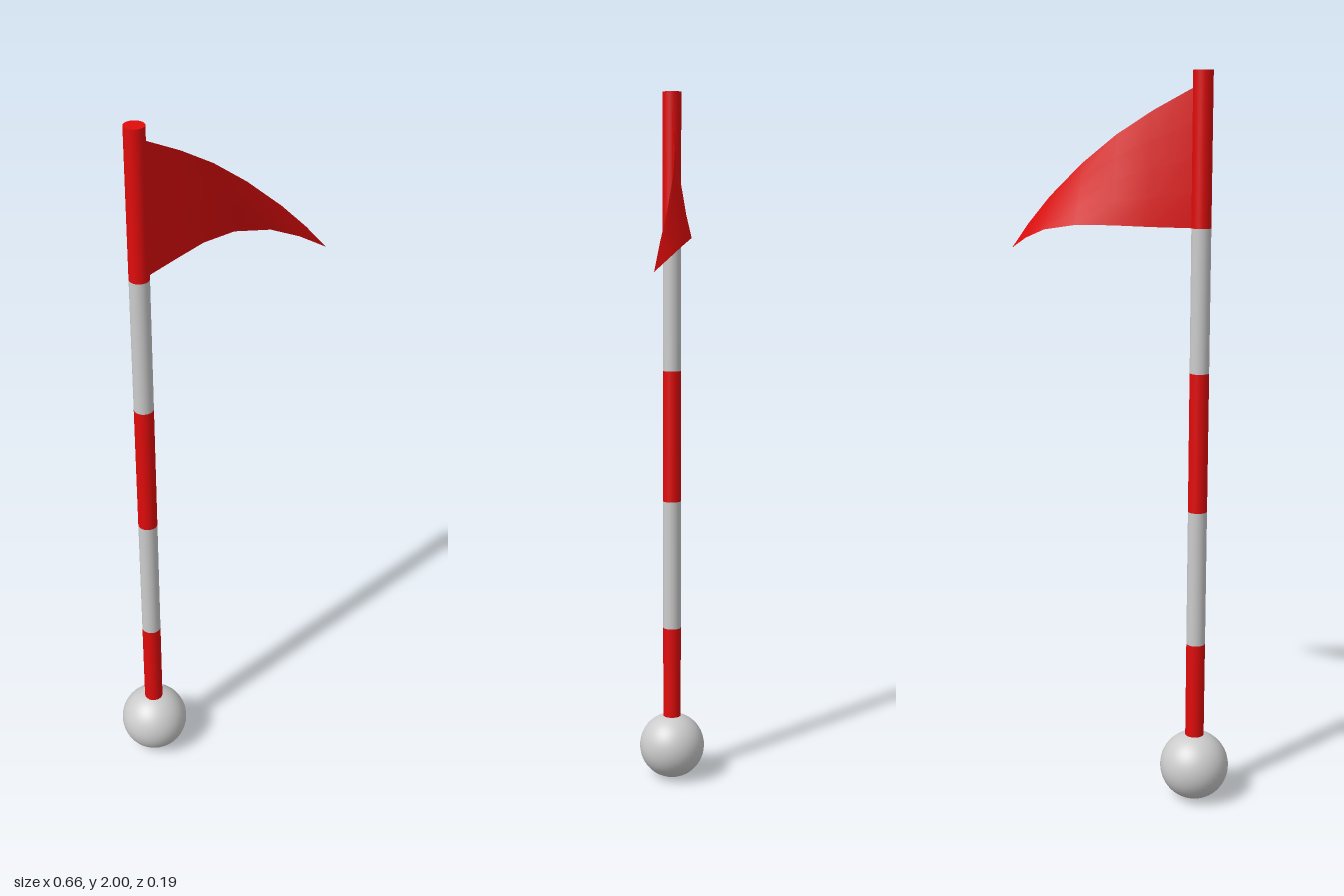
import * as THREE from 'three';

const POLE_X = -0.232;
const grey = new THREE.MeshStandardMaterial({ color: 0xcccccc });
const red = new THREE.MeshStandardMaterial({ color: 0xe00b0b });
const cloth = new THREE.MeshStandardMaterial({ color: 0xe00b0b, side: THREE.DoubleSide });

// Pennant: a sheet lofted between a top and a bottom edge that meet at the tip
function pennantGeometry() {
  // x, top y, top z, bottom y, bottom z
  const stations = [
    [-0.208, 1.957, 0, 1.602, 0],
    [-0.1, 1.9, -0.003, 1.604, -0.025],
    [0, 1.838, -0.005, 1.607, -0.045],
    [0.1, 1.762, 0.001, 1.605, -0.047],
    [0.2, 1.672, 0.018, 1.588, -0.022],
    [0.27, 1.598, 0.036, 1.56, 0.012],
    [0.328, 1.527, 0.051, 1.527, 0.051],
  ];
  const rows = 4;
  const positions = [];
  const indices = [];
  stations.forEach(([x, topY, topZ, lowY, lowZ], i) => {
    for (let j = 0; j <= rows; j++) {
      const t = j / rows;
      positions.push(x, THREE.MathUtils.lerp(lowY, topY, t), THREE.MathUtils.lerp(lowZ, topZ, t));
      if (i === 0 || j === 0) continue;
      const d = i * (rows + 1) + j, c = d - 1, b = d - rows - 1, a = b - 1;
      indices.push(a, c, b);
      if (i < stations.length - 1) indices.push(c, d, b);
    }
  });
  const geometry = new THREE.BufferGeometry();
  geometry.setAttribute('position', new THREE.Float32BufferAttribute(positions, 3));
  geometry.setIndex(indices);
  geometry.computeVertexNormals();
  return geometry;
}

export function createModel() {
  const model = new THREE.Group();
  model.name = 'flagPole';

  const add = (name, geometry, material, x, y) => {
    const mesh = new THREE.Mesh(geometry, material);
    mesh.name = name;
    mesh.position.set(x, y, 0);
    model.add(mesh);
  };

  // Ball at the foot
  add('baseBall', new THREE.SphereGeometry(0.096, 40, 24), grey, POLE_X, 0.096);

  // Pole in alternating bands, red at both ends
  const levels = [0.08, 0.46, 0.841, 1.222, 1.603, 2];
  for (let i = 0; i < levels.length - 1; i++) {
    const height = levels[i + 1] - levels[i];
    const isTop = i === levels.length - 2;
    add(`poleBand${i + 1}`, new THREE.CylinderGeometry(0.026, 0.026, height, 32, 1, !isTop),
      i % 2 ? grey : red, POLE_X, levels[i] + height / 2);
  }

  add('pennant', pennantGeometry(), cloth, 0, 0);
  return model;
}
